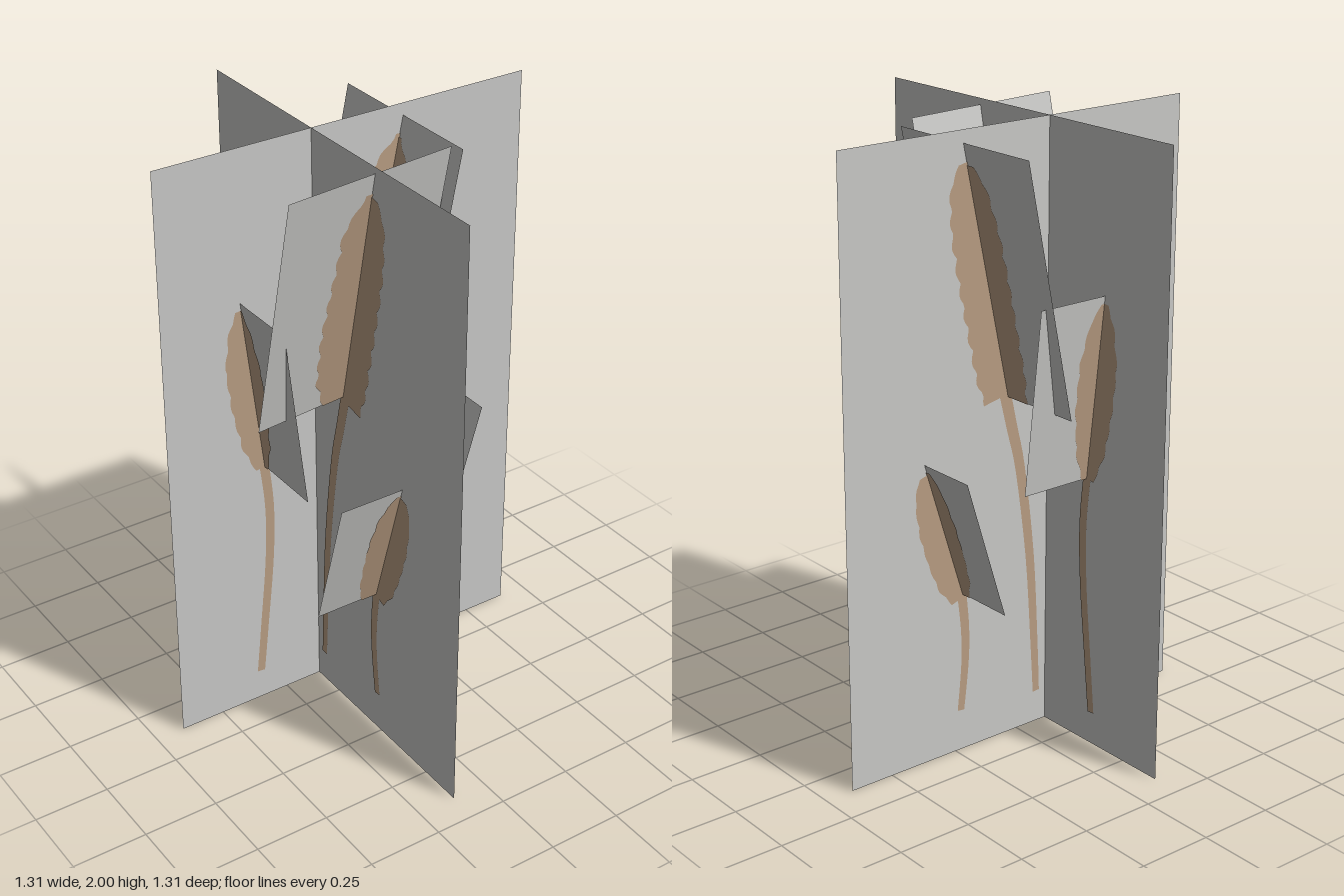
import * as THREE from 'three';

const panelMat = new THREE.MeshStandardMaterial({ color: 0xc9c9c7, side: THREE.DoubleSide });
panelMat.name = 'pale grey panel';
const plantMat = new THREE.MeshStandardMaterial({ color: 0xb89d82, side: THREE.DoubleSide });
plantMat.name = 'tan plant';

const V3 = (a) => new THREE.Vector3(...a);

// Head profiles: [height, left edge, right edge], plus the depth and pitch of the serration
const heads = {
  large: { rows: [[0, -0.06, 0.1], [0.1, -0.1, 0.115], [0.28, -0.11, 0.115], [0.42, -0.1, 0.115], [0.55, -0.09, 0.11],
    [0.65, -0.085, 0.095], [0.71, -0.05, 0.08], [0.76, -0.015, 0.035]], bump: 0.014, pitch: 0.075 },
  middle: { rows: [[0, -0.03, 0.03], [0.1, -0.065, 0.065], [0.25, -0.08, 0.085], [0.4, -0.08, 0.085],
    [0.52, -0.05, 0.06], [0.58, -0.015, 0.02]], bump: 0.007, pitch: 0.08 },
  small: { rows: [[0, -0.06, 0.05], [0.07, -0.08, 0.08], [0.17, -0.085, 0.09], [0.28, -0.085, 0.09],
    [0.38, -0.07, 0.075], [0.43, -0.045, 0.055], [0.46, -0.02, 0.035]], bump: 0.005, pitch: 0.07 },
};

// Serrated outline of a seed head, standing on the origin
function headShape({ rows, bump, pitch }) {
  const top = rows[rows.length - 1][0];
  const left = [], right = [];
  const steps = 48;
  for (let i = 0; i <= steps; i++) {
    const v = (top * i) / steps;
    let k = 0;
    while (k < rows.length - 2 && v > rows[k + 1][0]) k++;
    const t = (v - rows[k][0]) / (rows[k + 1][0] - rows[k][0]);
    const edge = (c) => rows[k][c] + (rows[k + 1][c] - rows[k][c]) * t;
    const cut = (shift) => bump * (1 - Math.abs(Math.sin((Math.PI * v) / pitch + shift)));
    left.push(new THREE.Vector2(edge(1) + cut(0.6), v));
    right.push(new THREE.Vector2(edge(2) - cut(1.5), v));
  }
  return new THREE.Shape([...right, ...left.reverse()]);
}

// Narrow curved ribbon for a stalk
function stalkShape(points, w0, w1) {
  const curve = new THREE.SplineCurve(points.map((p) => new THREE.Vector2(...p)));
  const left = [], right = [];
  for (let i = 0; i <= 20; i++) {
    const t = i / 20, p = curve.getPoint(t), d = curve.getTangent(t);
    const n = new THREE.Vector2(d.y, -d.x).multiplyScalar((w0 + (w1 - w0) * t) / 2);
    right.push(p.clone().add(n));
    left.push(p.clone().sub(n));
  }
  return new THREE.Shape([...right, ...left.reverse()]);
}

// Painted shape on both faces of a panel lying in its local xy plane
function paint(panel, name, shape, x = 0, y = 0, lean = 0) {
  for (const side of [1, -1]) {
    const mesh = new THREE.Mesh(new THREE.ShapeGeometry(shape), plantMat);
    mesh.name = name;
    mesh.position.set(x, y, side * 0.003);
    mesh.rotation.z = lean;
    panel.add(mesh);
  }
}

// Flat panel standing on its bottom centre, spanned by a width and a height vector
function makePanel(name, origin, across, up) {
  const u = V3(across), v = V3(up);
  const w = u.length(), h = v.length();
  u.normalize();
  const n = new THREE.Vector3().crossVectors(u, v).normalize();
  v.crossVectors(n, u);
  const group = new THREE.Group();
  group.name = name;
  const sheet = new THREE.Mesh(new THREE.PlaneGeometry(w, h), panelMat);
  sheet.name = name + 'Sheet';
  sheet.position.y = h / 2;
  group.add(sheet);
  group.applyMatrix4(new THREE.Matrix4().makeBasis(u, v, n).setPosition(V3(origin)));
  return group;
}

export function createModel() {
  const model = new THREE.Group();
  model.name = 'crossPanelPlant';

  // Two tall crossing panels, each carrying three stalks with heads
  const tall = [
    ['frontPanel', [0, 0, -0.12], [1.306, 0, 0]],
    ['sidePanel', [-0.12, 0, 0], [0, 0, 1.306]],
  ];
  for (const [name, origin, across] of tall) {
    const panel = makePanel(name, origin, across, [0, 2, 0]);
    paint(panel, 'middleStalk', stalkShape([[-0.35, 0.11], [-0.33, 0.3], [-0.305, 0.55], [-0.3, 0.75], [-0.318, 0.93]], 0.028, 0.034));
    paint(panel, 'largeStalk', stalkShape([[-0.08, 0.11], [-0.07, 0.3], [-0.05, 0.6], [-0.01, 0.9], [0.025, 1.05], [0.058, 1.19]], 0.026, 0.045));
    paint(panel, 'smallStalk', stalkShape([[0.23, 0.14], [0.213, 0.3], [0.212, 0.42], [0.225, 0.55]], 0.026, 0.036));
    paint(panel, 'middleHead', headShape(heads.middle), -0.317, 0.9, 0.116);
    paint(panel, 'largeHead', headShape(heads.large), 0.037, 1.16, -0.207);
    paint(panel, 'smallHead', headShape(heads.small), 0.216, 0.53, -0.3);
    model.add(panel);
  }

  // Tilted panels crossing each head
  const tilted = [
    ['largeFrontCross', 'large', [-0.148, 1.17, 0.042], [0.595, 0, -0.063], [0.022, 0.81, 0.168]],
    ['largeSideCross', 'large', [0.037, 1.15, -0.117], [0, 0, -0.597], [0.17, 0.81, 0]],
    ['smallFrontCross', 'small', [-0.12, 0.535, 0.22], [0.437, 0, 0], [0.015, 0.465, 0.136]],
    ['smallSideCross', 'small', [0.218, 0.54, -0.108], [0, 0, -0.44], [0.143, 0.462, 0]],
    ['middleBackCross', 'middle', [-0.125, 0.9, -0.31], [0.505, 0, 0], [0, 0.6, -0.07]],
    ['middleSideCross', 'middle', [-0.31, 0.9, -0.125], [0, 0, -0.505], [-0.07, 0.6, 0]],
  ];
  for (const [name, kind, origin, across, up] of tilted) {
    const panel = makePanel(name, origin, across, up);
    paint(panel, kind + 'Head', headShape(heads[kind]));
    model.add(panel);
  }
  return model;
}
